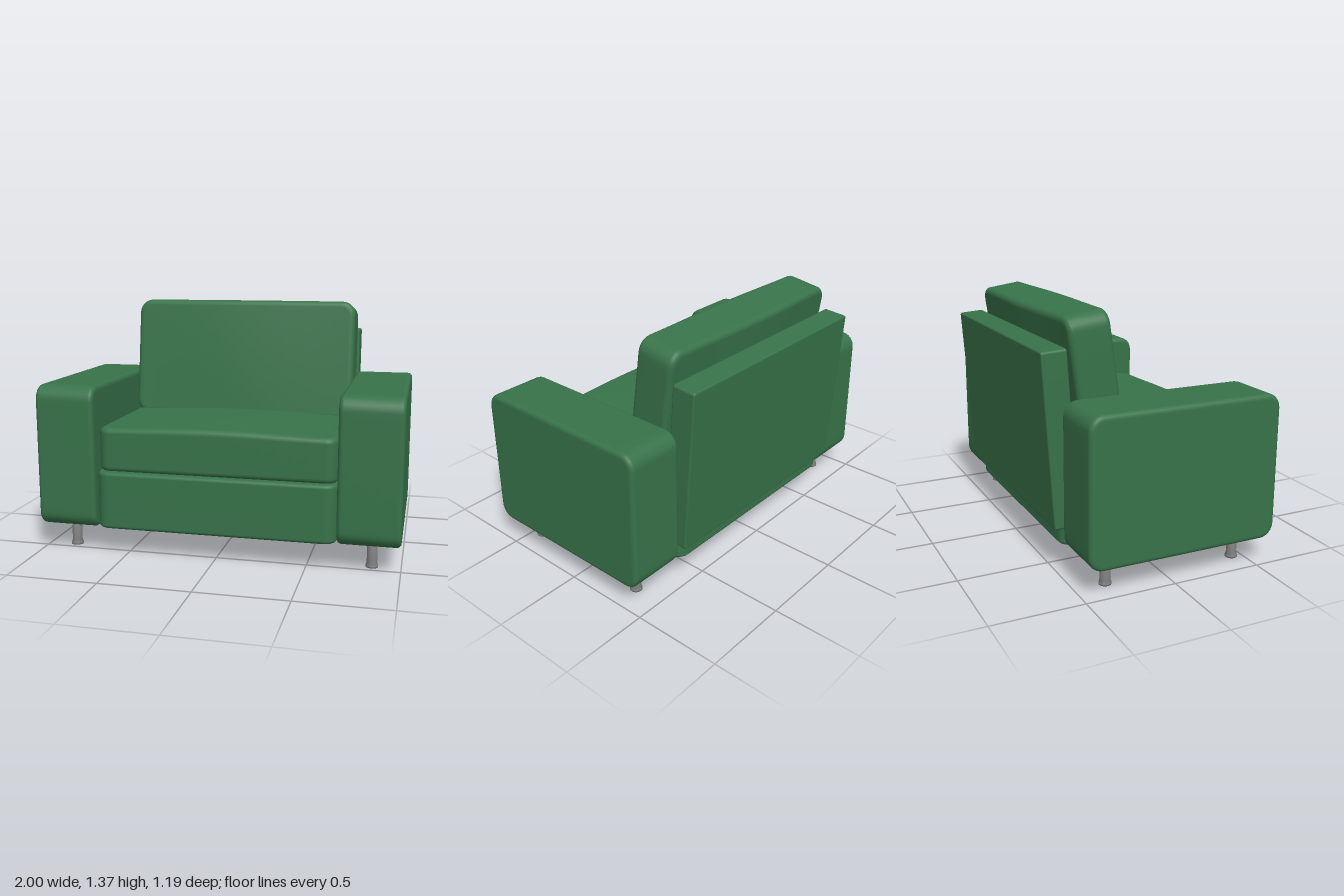
import * as THREE from 'three';

const fabric = new THREE.MeshStandardMaterial({ color: 0x38734a });
const metal = new THREE.MeshStandardMaterial({ color: 0x808080 });

// Outline of a rounded rectangle (half sizes a, b) with extra points on its straight runs
function outline(a, b, R) {
  const corners = [[1, 1], [-1, 1], [-1, -1], [1, -1]];
  const pts = [];
  corners.forEach(([sx, sz], k) => {
    for (let i = 0; i <= 6; i++) {
      const t = (k + i / 6) * Math.PI / 2;
      pts.push([sx * (a - R) + R * Math.cos(t), sz * (b - R) + R * Math.sin(t)]);
    }
    const [x0, z0] = pts[pts.length - 1];
    const [nx, nz] = corners[(k + 1) % 4];
    const t = (k + 1) * Math.PI / 2;
    const x1 = nx * (a - R) + R * Math.cos(t), z1 = nz * (b - R) + R * Math.sin(t);
    for (let i = 1; i < 14; i++) pts.push([x0 + (x1 - x0) * i / 14, z0 + (z1 - z0) * i / 14]);
  });
  return pts;
}

// Padded slab: outline w by d with corner radius R, thickness h, edge radius r;
// its upper and lower faces swell by crownTop and crownBottom towards the middle
function slab(w, h, d, R, r, crownTop = 0, crownBottom = 0) {
  const steps = 5, layers = [];
  const caps = [0, 0.2, 0.4, 0.6, 0.8, 0.93, 0.985];
  for (const s of caps) layers.push([r, -h / 2, s]);
  for (let i = 0; i <= steps; i++) {
    const t = i / steps * Math.PI / 2;
    layers.push([r - r * Math.sin(t), -h / 2 + r - r * Math.cos(t), 1]);
  }
  for (let i = 0; i <= steps; i++) {
    const t = i / steps * Math.PI / 2;
    layers.push([r - r * Math.cos(t), h / 2 - r + r * Math.sin(t), 1]);
  }
  for (const s of [...caps].reverse()) layers.push([r, h / 2, s]);

  const pos = [], index = [];
  let n = 0;
  for (const [inset, y, s] of layers) {
    const loop = outline(w / 2 - inset, d / 2 - inset, Math.max(R - inset, 0.001));
    n = loop.length;
    for (const [px, pz] of loop) {
      const x = px * s, z = pz * s;
      const swell = Math.cos(Math.PI * x / w) ** 2 * (0.65 + 0.35 * Math.cos(Math.PI * z / d));
      pos.push(x, y + swell * (y > 0 ? crownTop : -crownBottom) * Math.abs(y) / (h / 2), z);
    }
  }
  for (let i = 0; i < layers.length - 1; i++) {
    for (let j = 0; j < n; j++) {
      const a = i * n + j, b = i * n + (j + 1) % n, c = a + n, e = b + n;
      if (i > 0) index.push(a, c, b);
      if (i < layers.length - 2) index.push(b, c, e);
      else index.push();
    }
  }
  // The innermost rings collapse to a point, so the skipped triangles have no area
  const g = new THREE.BufferGeometry();
  g.setAttribute('position', new THREE.Float32BufferAttribute(pos, 3));
  g.setIndex(index);
  g.computeVertexNormals();
  const normal = g.attributes.normal;
  for (let j = 0; j < n; j++) {
    normal.setXYZ(j, 0, -1, 0);
    normal.setXYZ((layers.length - 1) * n + j, 0, 1, 0);
  }
  return g;
}

export function createModel() {
  const group = new THREE.Group();
  const add = (name, geometry, material, x, y, z) => {
    const mesh = new THREE.Mesh(geometry, material);
    mesh.name = name;
    mesh.position.set(x, y, z);
    group.add(mesh);
    return mesh;
  };

  // Base and seat cushion
  add('base', slab(1.33, 0.32, 1.07, 0.07, 0.02), fabric, 0, 0.31, 0.055);
  add('seatCushion', slab(1.325, 0.245, 0.95, 0.07, 0.03, 0.022), fabric, 0, 0.587, 0.08);

  // Leaning back cushion and the panel behind it
  const cushion = add('backCushion', slab(1.33, 0.235, 0.7, 0.08, 0.03, 0.02, 0.02), fabric, 0, 1.013, -0.28);
  cushion.rotation.x = Math.PI / 2 - 0.145;
  const panel = add('backPanel', slab(1.35, 0.14, 0.94, 0.015, 0.01), fabric, 0, 0.727, -0.488);
  panel.rotation.x = Math.PI / 2 - 0.069;

  // Arms, standing on edge
  const armGeometry = slab(0.795, 0.335, 1.08, 0.08, 0.025);
  // Legs with a flared foot
  const legGeometry = new THREE.LatheGeometry([
    [0, 0], [0.034, 0], [0.034, 0.008], [0.028, 0.026], [0.028, 0.16], [0, 0.16],
  ].map(([x, y]) => new THREE.Vector2(x, y)), 20);

  for (const [side, s] of [['left', 1], ['right', -1]]) {
    const arm = add(side + 'Arm', armGeometry, fabric, s * 0.8325, 0.5425, 0.06);
    arm.rotation.z = Math.PI / 2;
    add(side + 'FrontLeg', legGeometry, metal, s * 0.845, 0, 0.44);
    add(side + 'BackLeg', legGeometry, metal, s * 0.845, 0, -0.325);
  }
  return group;
}
